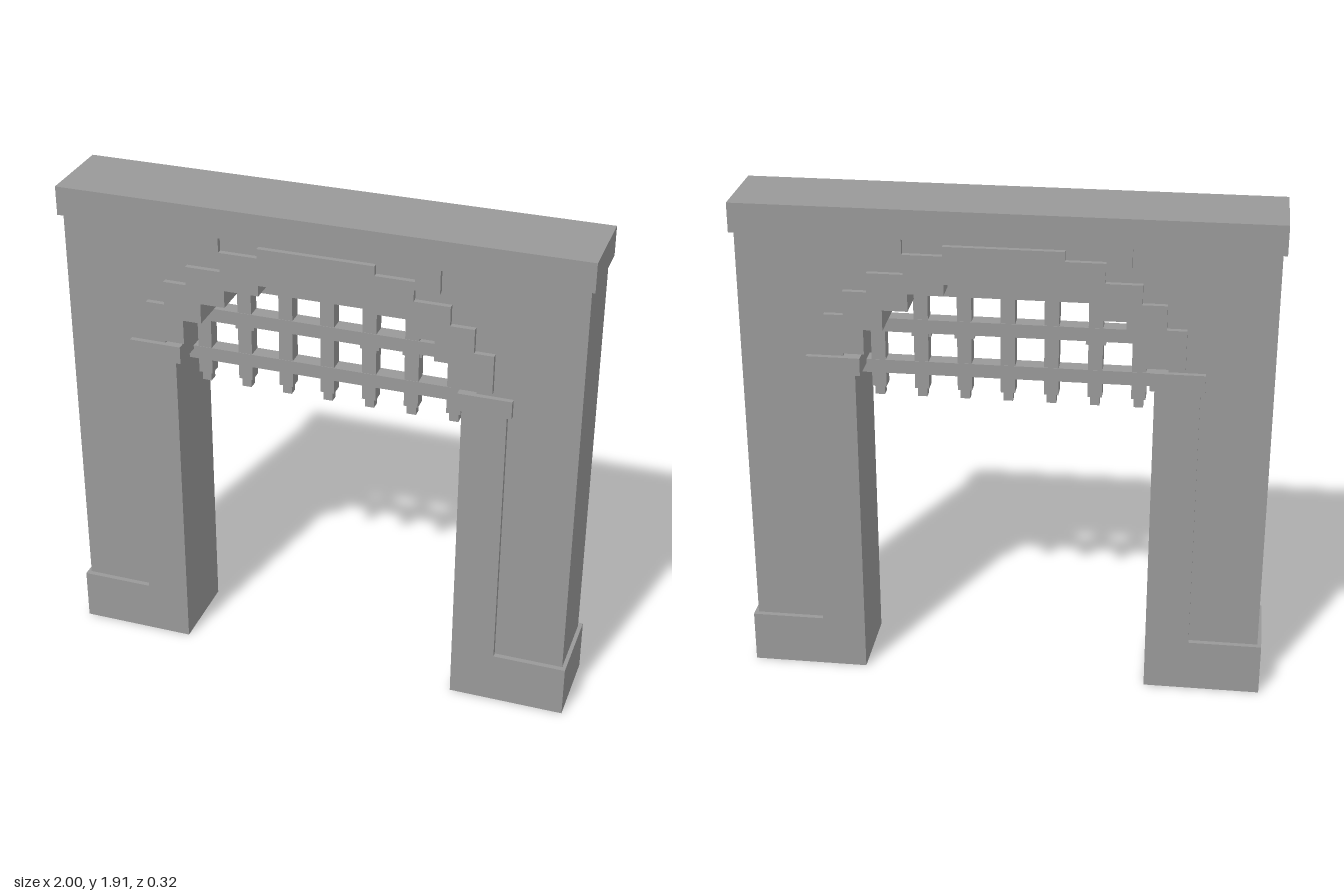
import * as THREE from 'three';

const D = 0.32; // full depth of the dressed stone
const WALL_D = 0.28; // depth of the recessed wall

export function createModel() {
  const group = new THREE.Group();
  group.name = 'portcullisGate';
  const stone = new THREE.MeshStandardMaterial({ color: 0x999999 });
  stone.name = 'grey stone';

  const add = (name, geometry) => {
    const mesh = new THREE.Mesh(geometry, stone);
    mesh.name = name;
    group.add(mesh);
    return mesh;
  };
  const box = (name, x0, x1, y0, y1, depth) =>
    add(name, new THREE.BoxGeometry(x1 - x0, y1 - y0, depth))
      .position.set((x0 + x1) / 2, (y0 + y1) / 2, 0);

  // Extrudes an outline given by its left half, mirrored across x = 0
  const mirrored = (name, half, depth) => {
    const right = half.map(([x, y]) => [-x, y]).reverse();
    const points = [...half, ...right].map(([x, y]) => new THREE.Vector2(x, y));
    const geometry = new THREE.ExtrudeGeometry(new THREE.Shape(points), { depth, bevelEnabled: false });
    geometry.translate(0, 0, -depth / 2);
    return add(name, geometry);
  };

  // Recessed wall, with a stepped opening hidden behind the arch stones
  mirrored('wall', [
    [-0.985, 1.81], [-0.985, 0.19], [-0.6, 0.19], [-0.6, 1.46], [-0.5, 1.46],
    [-0.5, 1.55], [-0.4, 1.55], [-0.4, 1.65],
  ], WALL_D);

  // Stepped arch: outer edge down from the keystone, then inner edge back up
  mirrored('archStones', [
    [-0.22, 1.78], [-0.22, 1.743], [-0.368, 1.743], [-0.368, 1.8], [-0.46, 1.8],
    [-0.46, 1.71], [-0.365, 1.71], [-0.365, 1.667], [-0.5, 1.667], [-0.5, 1.593],
    [-0.59, 1.593], [-0.59, 1.5], [-0.663, 1.5], [-0.663, 1.348], [-0.517, 1.348],
    [-0.517, 1.445], [-0.445, 1.445], [-0.445, 1.525], [-0.35, 1.525],
    [-0.35, 1.593], [-0.217, 1.593], [-0.217, 1.635],
  ], D);

  // Top slab
  box('topSlab', -1, 1, 1.8, 1.912, D);

  // Piers: base, jamb and capital on each side
  for (const s of [-1, 1]) {
    const side = (name, a, b, y0, y1) =>
      box(name, Math.min(s * a, s * b), Math.max(s * a, s * b), y0, y1, D);
    side('base', 0.553, 1, 0, 0.205);
    side('jamb', 0.553, 0.72, 0.205, 1.26);
    side('capital', 0.535, 0.737, 1.26, 1.33);
  }

  // Portcullis: horizontal bars as [half width, bottom, top]
  const rails = [[0.555, 1.222, 1.275], [0.53, 1.39, 1.443], [0.36, 1.54, 1.593]];
  for (const [w, y0, y1] of rails) box('grilleRail', -w, w, y0, y1, 0.06);

  // Vertical bars reach up into the arch and end in stepped spikes
  const tops = [1.64, 1.64, 1.6, 1.45];
  for (let i = -3; i <= 3; i++) {
    const x = i * 0.163;
    box('grilleBar', x - 0.027, x + 0.027, 1.165, tops[Math.abs(i)], 0.056);
    box('grilleSpike', x - 0.018, x + 0.018, 1.128, 1.165, 0.036);
    // Small clamps under the middle rail
    if (Math.abs(i) === 2 || i === 1) box('grilleClamp', x - 0.037, x + 0.037, 1.374, 1.392, 0.05);
  }
  return group;
}
